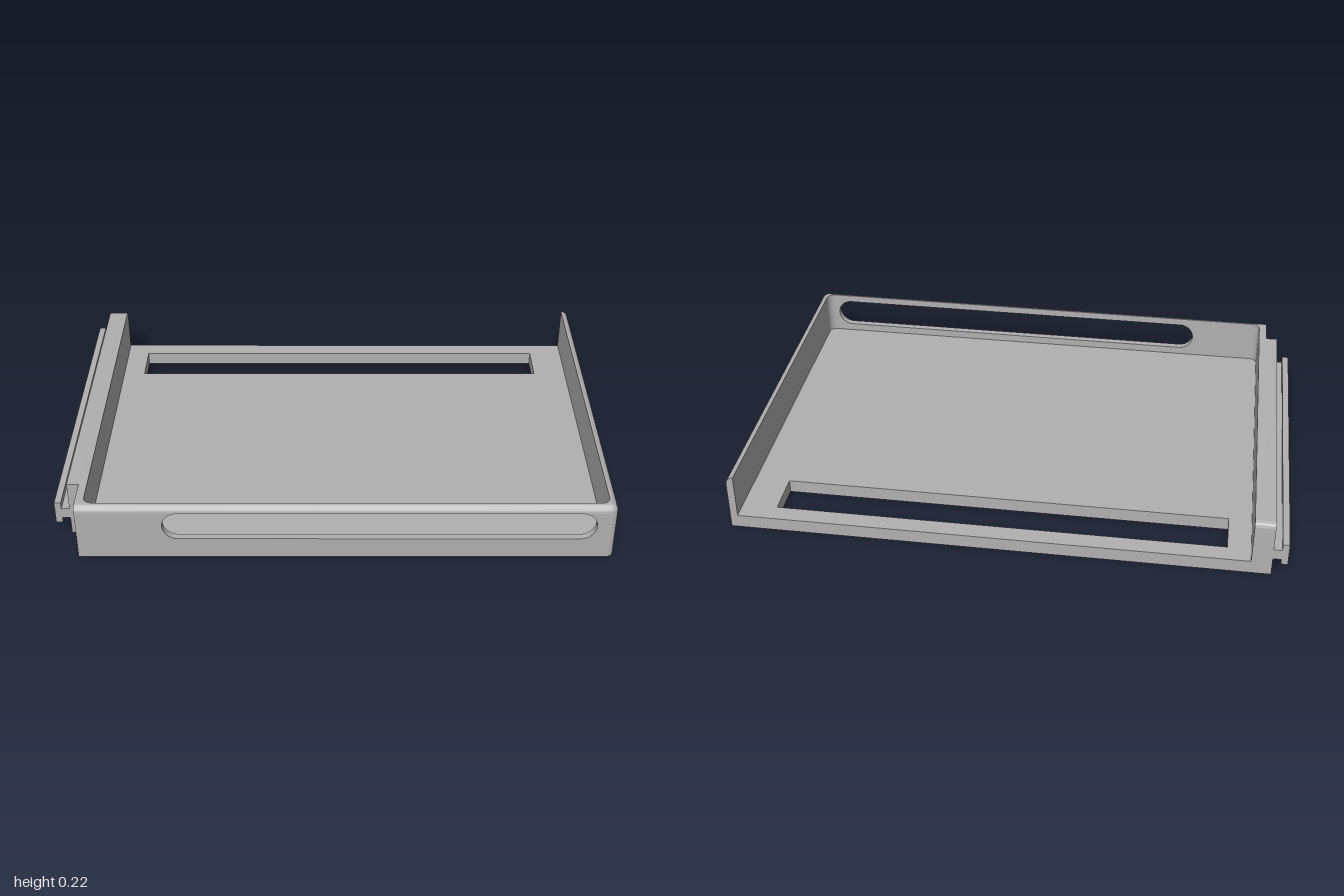
import * as THREE from 'three';
import { toCreasedNormals } from 'three/addons/utils/BufferGeometryUtils.js';

const H = 0.218, T = 0.027, FLOOR = 0.05;      // wall height, thin wall, floor thickness
const BACK = -0.688, FRONT = 0.688, RIGHT = 1; // outer faces
const IN_X = RIGHT - T, IN_Z = FRONT - T, IN_L = -0.874;
const WALL_L = -0.947, NOTCH_X = -0.904, NOTCH_Z = 0.553;

const extrude = (shape, depth) =>
  new THREE.ExtrudeGeometry(shape, { depth, bevelEnabled: false, curveSegments: 12 });

// profile in (z, y), run along x
const alongX = (shape, x0, x1) => extrude(shape, x1 - x0).rotateY(-Math.PI / 2).translate(x1, 0, 0);
// profile in (x, y), run along z
const alongZ = (shape, z0, z1) => extrude(shape, z1 - z0).translate(0, 0, z0);
// plan in (x, z), run along y
const alongY = (shape, y0, y1) => extrude(shape, y1 - y0).rotateX(Math.PI / 2).translate(0, y1, 0);

function rect(x0, y0, x1, y1, Kind = THREE.Shape) {
  const s = new Kind();
  s.moveTo(x0, y0).lineTo(x1, y0).lineTo(x1, y1).lineTo(x0, y1).closePath();
  return s;
}

// thin wall section with its outer top edge rounded over
function roundedSection(inner, y0) {
  const s = new THREE.Shape();
  s.moveTo(inner, y0).lineTo(inner + T, y0);
  if (y0 < H - T) s.lineTo(inner + T, H - T);
  s.absarc(inner, H - T, T, 0, Math.PI / 2, false);
  s.closePath();
  return s;
}

// side outline of the thick wall, rounded at its top back corner
function thickWallOutline(zEnd) {
  const r = 0.02, s = new THREE.Shape();
  s.moveTo(BACK, 0).lineTo(zEnd, 0).lineTo(zEnd, H).lineTo(BACK + r, H);
  s.absarc(BACK + r, H - r, r, Math.PI / 2, Math.PI, false);
  s.closePath();
  return s;
}

export function createModel() {
  const group = new THREE.Group();
  const grey = new THREE.MeshStandardMaterial({ color: 0xb0b0b0 });
  grey.name = 'grey';

  const add = (name, geometry) => {
    const mesh = new THREE.Mesh(toCreasedNormals(geometry, 0.5), grey);
    mesh.name = name;
    group.add(mesh);
  };

  // floor with the long slot near the open back
  const floor = rect(IN_L, BACK, IN_X, IN_Z);
  floor.holes.push(rect(-0.79, -0.62, 0.845, -0.457, THREE.Path));
  add('floor', alongY(floor, 0, FLOOR));

  // front wall with a round-ended opening
  const front = rect(NOTCH_X, 0, IN_X, H - T);
  const r = 0.055, cy = 0.135, slot = new THREE.Path();
  slot.absarc(0.93 - r, cy, r, -Math.PI / 2, Math.PI / 2, false);
  slot.absarc(-0.6 + r, cy, r, Math.PI / 2, Math.PI * 1.5, false);
  slot.closePath();
  front.holes.push(slot);
  add('frontWall', alongZ(front, IN_Z, FRONT));
  add('frontWallTop', alongX(roundedSection(IN_Z, H - T), NOTCH_X, IN_X));

  // left wall and the rounded corner that joins it to the front
  add('leftWall', alongZ(roundedSection(IN_X, 0), BACK, IN_Z));
  const profile = [new THREE.Vector2(0, 0), new THREE.Vector2(T, 0)];
  for (let i = 0; i <= 8; i++) {
    const a = (i / 8) * Math.PI / 2;
    profile.push(new THREE.Vector2(T * Math.cos(a), H - T + T * Math.sin(a)));
  }
  add('frontCorner', new THREE.LatheGeometry(profile, 8, 0, Math.PI / 2).translate(IN_X, 0, IN_Z));

  // thick right wall, stepped in near the front
  add('rightWallInner', alongX(thickWallOutline(IN_Z), NOTCH_X, IN_L));
  add('rightWallOuter', alongX(thickWallOutline(NOTCH_Z), WALL_L, NOTCH_X));

  // small fillets in the two inner front corners
  const f = 0.03;
  for (const [x, side] of [[IN_X, 1], [IN_L, -1]]) {
    const s = new THREE.Shape();
    s.moveTo(x, IN_Z).lineTo(x, IN_Z - f);
    s.absarc(x - side * f, IN_Z - f, f, side > 0 ? 0 : Math.PI, Math.PI / 2, side < 0);
    s.closePath();
    add('innerFillet', alongY(s, FLOOR, H));
  }

  // T-shaped slide rail on the right side
  add('railWeb', alongZ(rect(-0.976, 0.07, WALL_L, 0.11), BACK, NOTCH_Z));
  add('railFlange', alongZ(rect(-1, 0.05, -0.976, 0.135), BACK, NOTCH_Z));

  return group;
}
